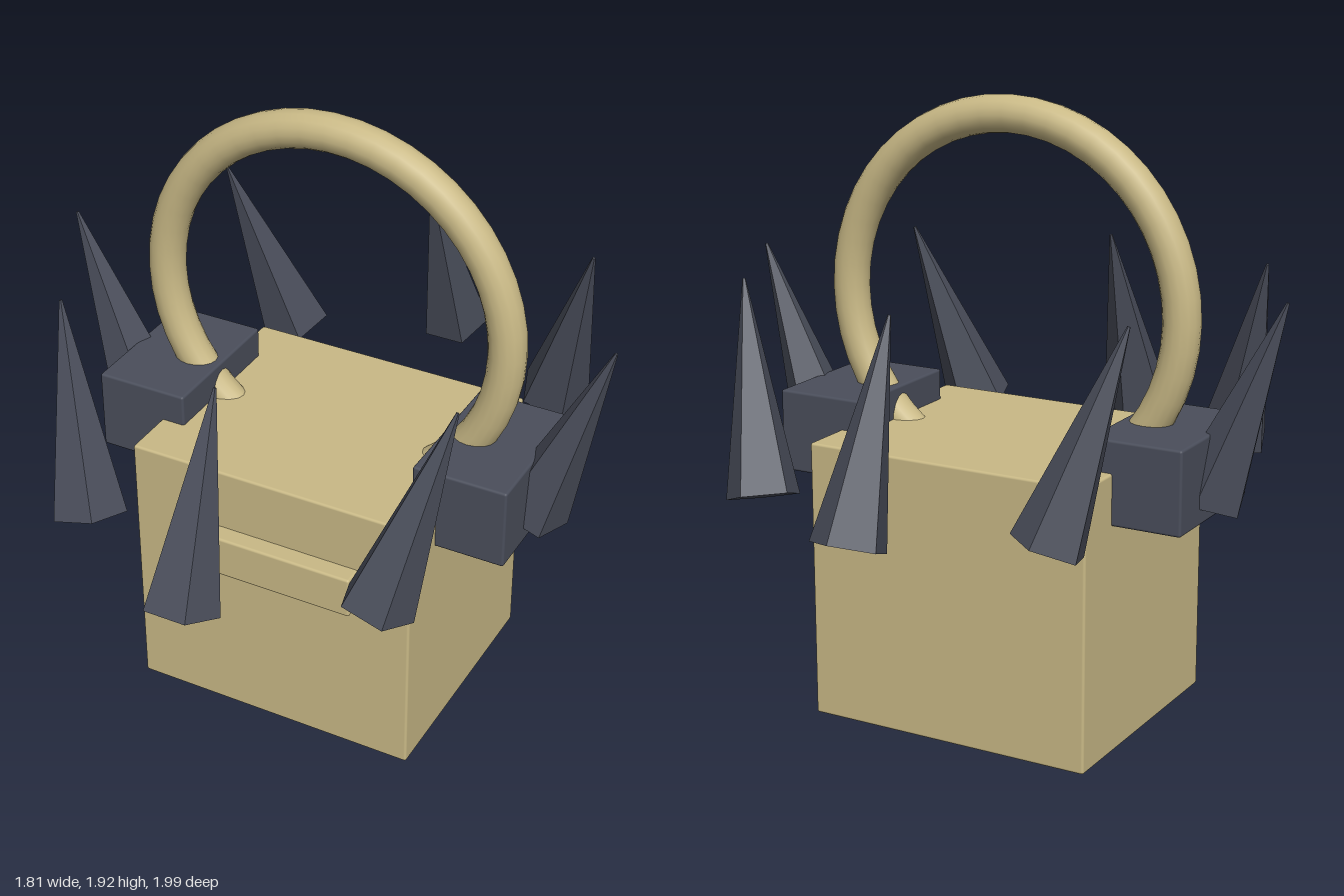
import * as THREE from 'three';
import { RoundedBoxGeometry } from 'three/addons/geometries/RoundedBoxGeometry.js';

export function createModel() {
  const model = new THREE.Group();
  model.name = 'spikedCrate';
  const tan = new THREE.MeshStandardMaterial({ color: 0xc9b986 });
  tan.name = 'tan';
  const slate = new THREE.MeshStandardMaterial({ color: 0x4a4e5b });
  slate.name = 'slate';
  const slateFlat = slate;
  const cz = 0.008; // shared depth centre

  function add(name, geometry, material, x, y, z) {
    const mesh = new THREE.Mesh(geometry, material);
    mesh.name = name;
    mesh.position.set(x, y, z);
    model.add(mesh);
    return mesh;
  }
  const box = (w, h, d) => new RoundedBoxGeometry(w, h, d, 2, 0.008);

  // Main body and the raised bar on its front
  add('body', box(0.94, 0.88, 0.8), tan, 0, 0.44, cz);
  add('frontBar', box(0.6, 0.135, 0.12), tan, 0, 0.613, 0.407);

  // Ring handle, sunk into the body and the side blocks
  add('ringHandle', new THREE.TorusGeometry(0.573, 0.058, 16, 48), tan, 0, 1.288, cz);

  // Side blocks
  for (const side of [1, -1]) {
    add(side > 0 ? 'leftBlock' : 'rightBlock', box(0.3, 0.26, 0.47), slate, side * 0.54, 0.85, cz);
  }

  // Eight five-sided spikes in a circle, leaning out at the sides and in at front and back
  const spike = new THREE.CylinderGeometry(0.005, 0.115, 0.65, 5, 1, false, Math.PI).toNonIndexed();
  spike.computeVertexNormals();
  for (let i = 0; i < 8; i++) {
    const a = (i * Math.PI) / 4;
    const mesh = add('spike' + (i + 1), spike, slateFlat, Math.cos(a) * 0.788, 1.08, Math.sin(a) * 0.788 + cz);
    mesh.rotation.set(-Math.sin(a) * 0.35, 0, -Math.cos(a) * 0.35);
  }
  return model;
}
